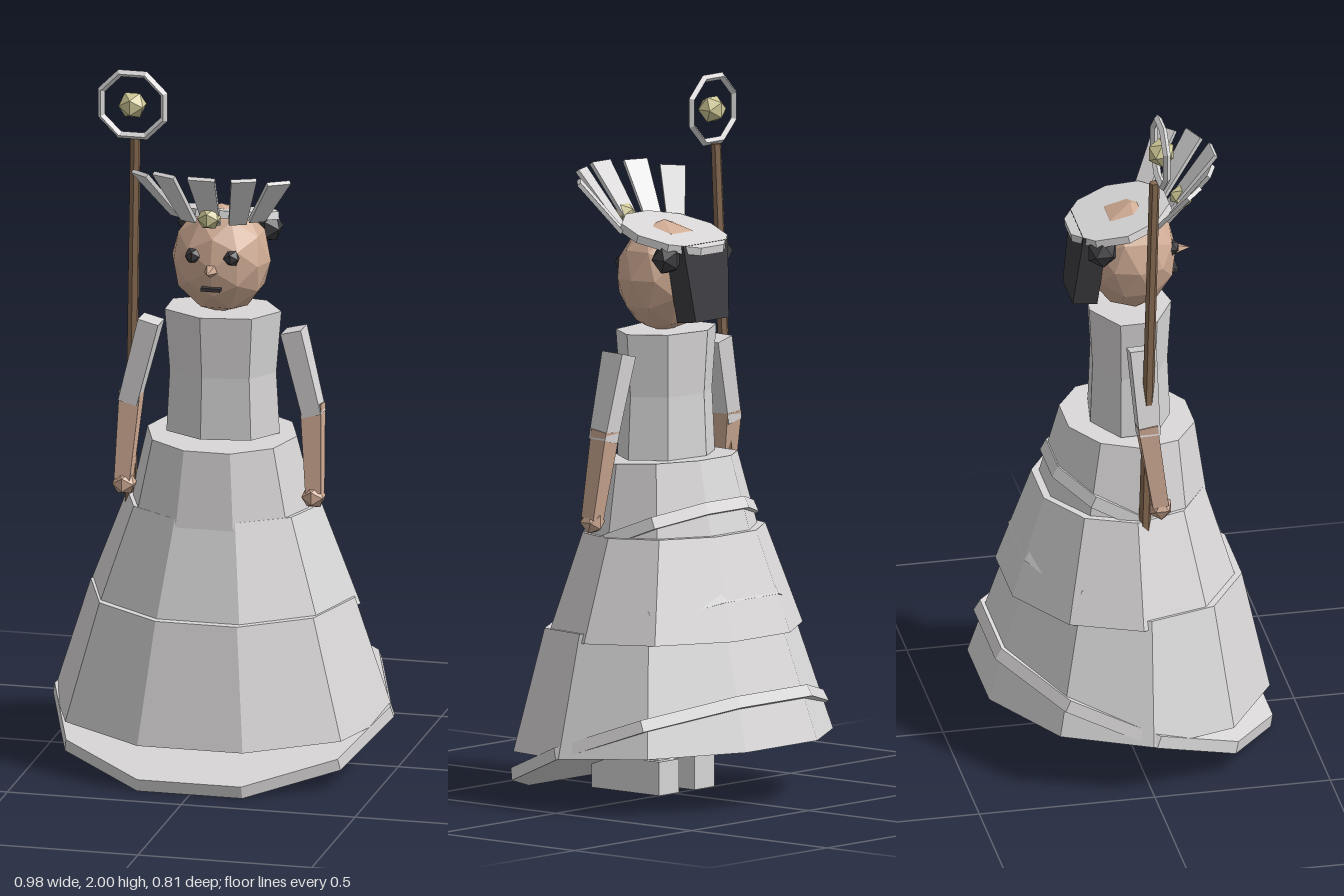
import * as THREE from 'three';

const paint = (name, color) =>
  Object.assign(new THREE.MeshStandardMaterial({ color, flatShading: true }), { name });

export function createModel() {
  const cloth = paint('pale grey cloth', 0xd9d7d7);
  const skin = paint('skin', 0xcfab94);
  const wood = paint('wood', 0x866a52);
  const hair = paint('dark hair', 0x3c3b3f);
  const gold = paint('pale gold', 0xd0c997);

  const model = new THREE.Group();
  model.name = 'robedFigure';
  const V = (x, y, z) => new THREE.Vector3(x, y, z);

  function add(name, geometry, material, x = 0, y = 0, z = 0, tilt = 0) {
    const mesh = new THREE.Mesh(geometry, material);
    mesh.name = name;
    mesh.position.set(x, y, z);
    mesh.rotation.x = tilt;
    model.add(mesh);
    return mesh;
  }

  // Faceted oval drum standing on its own origin
  function drum(top, bottom, height, depth, sides = 10, start = Math.PI / 2) {
    return new THREE.CylinderGeometry(top, bottom, height, sides, 1, false, start)
      .translate(0, height / 2, 0).scale(1, 1, depth);
  }

  // Tapered bar with a rectangular section running from a to b
  function bar(name, a, b, material, size0, size1, side = V(1, 0, 0)) {
    const d = b.clone().sub(a);
    const geo = new THREE.BoxGeometry(1, d.length(), 1);
    const p = geo.attributes.position;
    for (let i = 0; i < p.count; i++) {
      const s = p.getY(i) > 0 ? size1 : size0;
      p.setX(i, p.getX(i) * s[0]);
      p.setZ(i, p.getZ(i) * s[1]);
    }
    d.normalize();
    const normal = side.clone().cross(d).normalize();
    const across = d.clone().cross(normal);
    geo.applyMatrix4(new THREE.Matrix4().makeBasis(across, d, normal));
    const m = a.clone().add(b).multiplyScalar(0.5);
    return add(name, geo, material, m.x, m.y, m.z);
  }

  const ball = (name, r, material, x, y, z, detail = 0) =>
    add(name, new THREE.IcosahedronGeometry(r, detail), material, x, y, z);

  // Skirt: three overlapping tiers, slightly raised at the back
  add('skirtLowerTier', drum(0.38, 0.49, 0.34, 0.86), cloth, 0, 0.15, 0, 0.05);
  add('skirtMiddleTier', drum(0.28, 0.39, 0.285, 0.86), cloth, 0, 0.465, -0.008, 0.02);
  add('skirtUpperTier', drum(0.215, 0.27, 0.23, 0.88), cloth, 0, 0.72, 0.01, 0.06);

  // Slanting ruffles that emerge at the back of the skirt
  for (const [r, y, z, tilt] of [
    [0.49, 0.147, 0.01, 0.36], [0.37, 0.455, 0, 0.4], [0.275, 0.725, 0.01, 0.4],
  ]) add('ruffle', drum(r * 0.985, r, 0.035, 0.9), cloth, 0, y, z, tilt);

  // Bodice, narrowed at the middle
  add('bodiceLower', drum(0.155, 0.165, 0.18, 0.71, 7, -0.21), cloth, 0, 0.955, 0.025);
  add('bodiceUpper', drum(0.17, 0.155, 0.18, 0.71, 7, -0.21), cloth, 0, 1.13, 0.025);

  // Feet, arms and hands
  for (const s of [-1, 1]) {
    add('foot', new THREE.BoxGeometry(0.085, 0.095, 0.25), cloth, s * 0.075, 0.0575, 0.075);
    add('leg', new THREE.BoxGeometry(0.05, 0.12, 0.06), cloth, s * 0.075, 0.15, 0);
    bar('upperArm', V(s * 0.205, 1.26, 0.023), V(s * 0.265, 1.02, 0.03), cloth,
      [0.06, 0.075], [0.055, 0.06]);
    bar('forearm', V(s * 0.26, 1.05, 0.025), V(s * 0.275, 0.8, 0.06), skin,
      [0.06, 0.055], [0.045, 0.045]);
    ball('hand', 0.036, skin, s * 0.272, 0.79, 0.063);
  }

  // Head and face
  ball('head', 1, skin, 0, 1.458, 0.033, 1).scale.set(0.142, 0.158, 0.13);
  for (const s of [-1, 1]) {
    ball('eye', 0.025, hair, s * 0.055, 1.49, 0.138);
    ball('hairBun', 0.045, hair, s * 0.108, 1.525, -0.07);
  }
  add('nose', new THREE.ConeGeometry(0.024, 0.06, 5), skin, 0, 1.455, 0.175, Math.PI / 2);
  add('mouth', new THREE.BoxGeometry(0.055, 0.01, 0.04), hair, 0, 1.4, 0.145);

  // Hair hanging behind the head
  bar('backHair', V(0, 1.56, -0.085), V(0, 1.345, -0.11), hair, [0.19, 0.07], [0.14, 0.07]);

  // Headdress: tilted brim, fan of planks and a gem
  add('brim', drum(0.155, 0.158, 0.022, 0.98), cloth, 0, 1.57, 0, -0.24);
  for (const s of [-1, 0, 1]) {
    if (s === 0) {
      bar('plank', V(0, 1.59, 0.145), V(0, 1.755, 0.27), cloth, [0.05, 0.012], [0.078, 0.012]);
      continue;
    }
    bar('plank', V(s * 0.07, 1.59, 0.13), V(s * 0.115, 1.75, 0.24), cloth,
      [0.05, 0.012], [0.072, 0.012], V(0.92, 0, -s * 0.38));
    bar('plank', V(s * 0.115, 1.59, 0.09), V(s * 0.2, 1.73, 0.175), cloth,
      [0.05, 0.012], [0.072, 0.012], V(0.78, 0, -s * 0.62));
  }
  ball('headdressGem', 0.035, gold, 0, 1.615, 0.178);

  // Staff with an open ring around a floating orb
  const foot = V(-0.278, 0.09, 0.0), tip = V(-0.243, 1.8, 0.052);
  const shaft = add('staff', new THREE.CylinderGeometry(0.015, 0.018, foot.distanceTo(tip), 6), wood);
  shaft.position.copy(foot).add(tip).multiplyScalar(0.5);
  shaft.quaternion.setFromUnitVectors(V(0, 1, 0), tip.clone().sub(foot).normalize());
  add('staffRing', new THREE.TorusGeometry(0.097, 0.011, 4, 8).rotateZ(Math.PI / 8),
    cloth, -0.247, 1.895, 0.068);
  ball('staffOrb', 0.041, gold, -0.247, 1.895, 0.07);

  return model;
}
